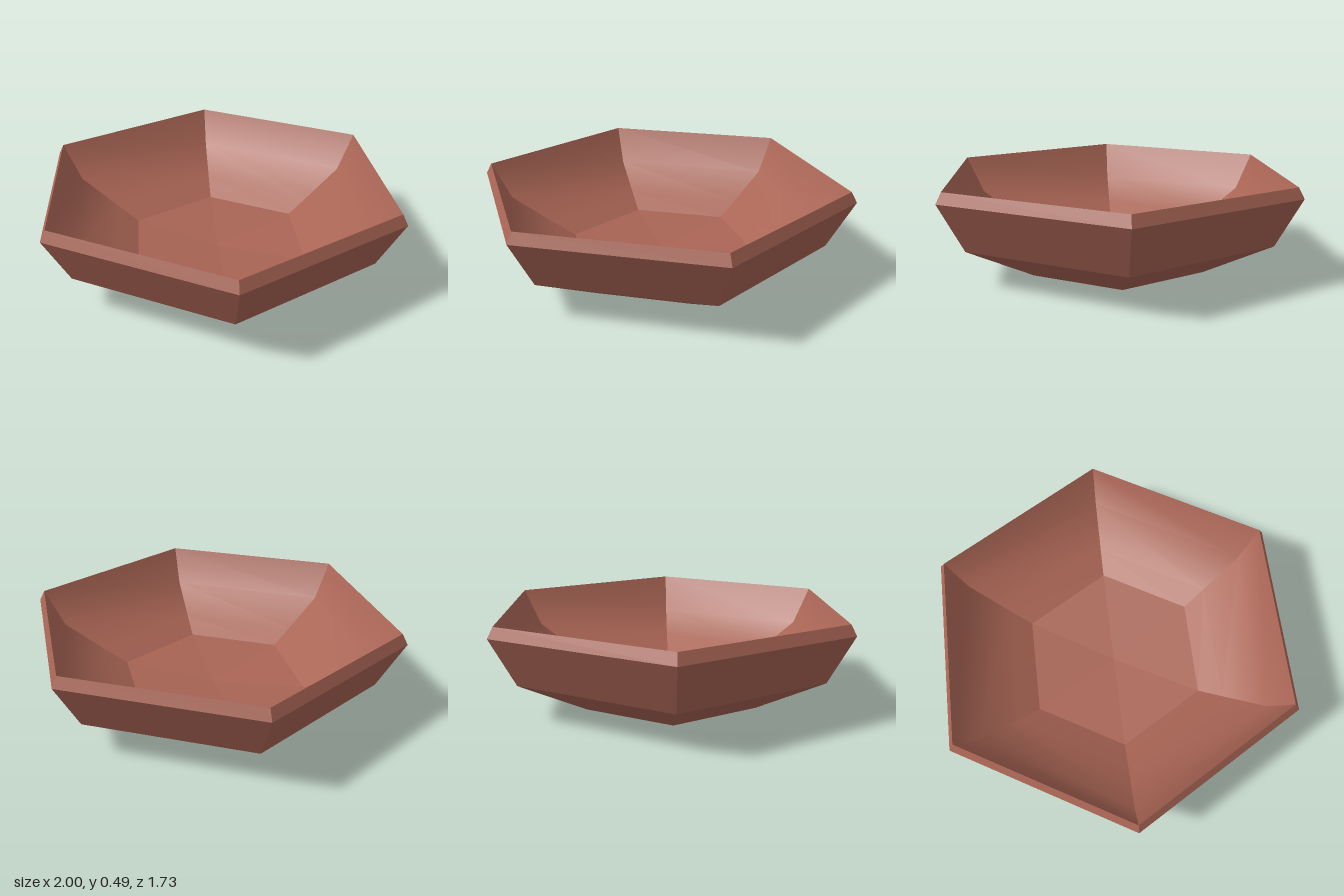
import * as THREE from 'three';

const SIDES = 6;
const STEP = (Math.PI * 2) / SIDES;
const toPoints = (pairs) => pairs.map(([r, y]) => new THREE.Vector2(r, y));

// Hexagonal ring with hard facets, corners on the x axis
function facetedRing(pairs) {
  const geometry = new THREE.LatheGeometry(toPoints(pairs), SIDES, Math.PI / 2).toNonIndexed();
  geometry.computeVertexNormals();
  return geometry;
}

export function createModel() {
  const bowl = new THREE.Group();
  bowl.name = 'hexagonalBowl';
  const clay = new THREE.MeshStandardMaterial({ color: 0xa86454 });
  clay.name = 'terracotta';

  function add(name, geometry, parent = bowl) {
    const mesh = new THREE.Mesh(geometry, clay);
    mesh.name = name;
    parent.add(mesh);
  }

  // Flat underside
  add('base', new THREE.CircleGeometry(0.5, SIDES).rotateX(Math.PI / 2));

  // Two flared outer bands and the bevelled rim
  add('outerWall', facetedRing([[0.5, 0], [0.865, 0.185], [1, 0.435]]));
  add('rim', facetedRing([[1, 0.435], [0.97, 0.49]]));

  // Six inner panels, curved from rim to floor with sharp joints between them
  const innerProfile = toPoints([[0.97, 0.49], [0.86, 0.3], [0.63, 0.176], [0.5, 0.11]]);
  const innerWall = new THREE.Group();
  innerWall.name = 'innerWall';
  bowl.add(innerWall);
  for (let i = 0; i < SIDES; i++) {
    const panel = new THREE.LatheGeometry(innerProfile, 1, Math.PI / 2 + i * STEP, STEP);
    panel.computeVertexNormals();
    add('innerPanel' + (i + 1), panel, innerWall);
  }

  // Slightly dished floor
  add('floor', facetedRing([[0.5, 0.11], [0, 0.07]]));

  return bowl;
}
